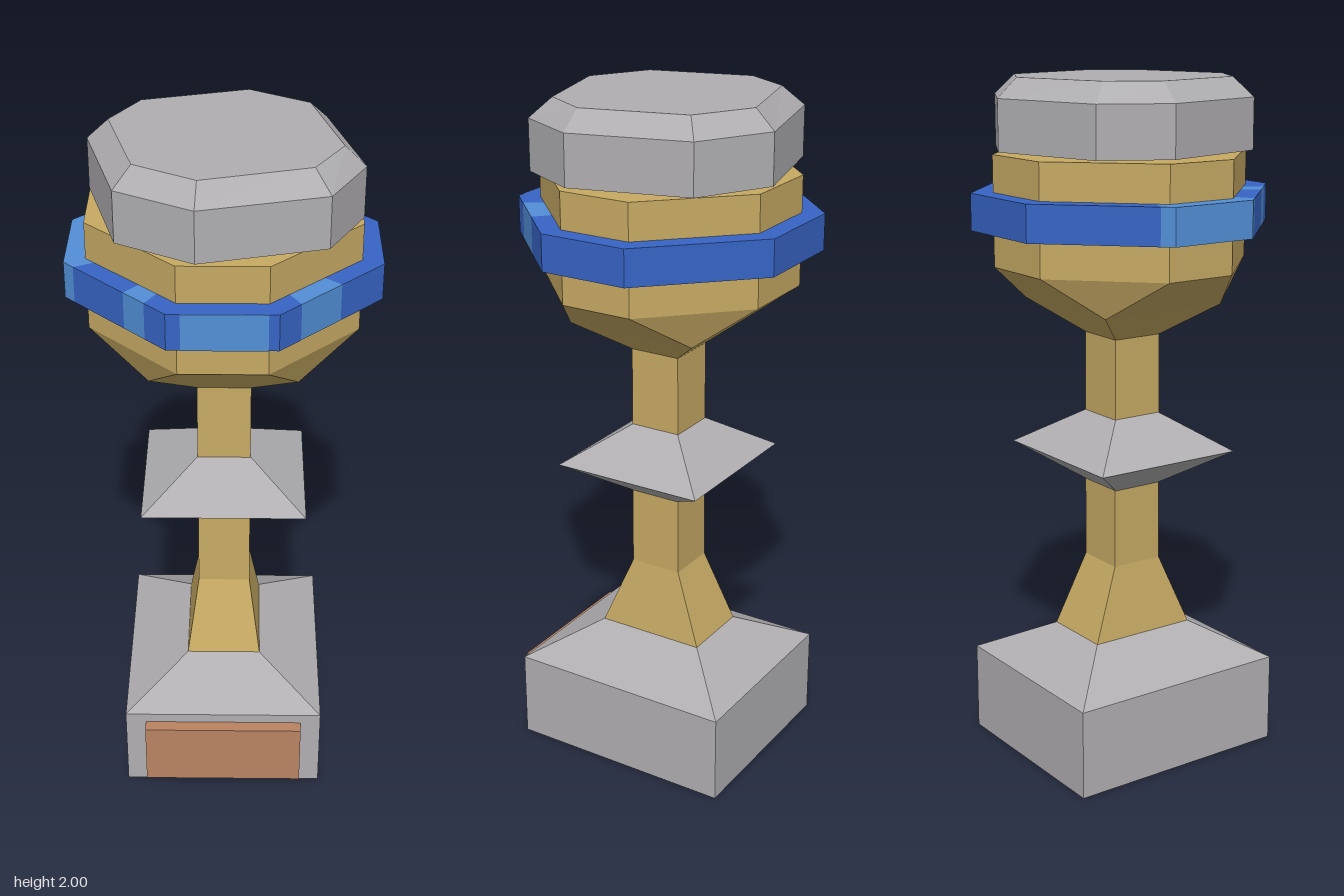
import * as THREE from 'three';

const mat = (name, color) => {
  const m = new THREE.MeshStandardMaterial({ color, flatShading: true });
  m.name = name;
  return m;
};

// Footprints are [x, z] points running from +x towards +z.
const oct = (X, z1, x1, Z) => [
  [X, z1], [x1, Z], [-x1, Z], [-X, z1], [-X, -z1], [-x1, -Z], [x1, -Z], [X, -z1],
];
const rect = (x, z) => [[x, z], [-x, z], [-x, -z], [x, -z]];
const twoFold = (half) => [...half, ...half.map(([x, z]) => [-x, -z])];

// Faceted solid through stacked cross-sections [y, footprint], capped at both ends.
function loft(sections) {
  const rings = sections.map(([y, pts]) => pts.map(([x, z]) => new THREE.Vector3(x, y, z)));
  const out = [];
  const tri = (a, b, c) => {
    if (new THREE.Triangle(a, b, c).getArea() > 1e-7) for (const p of [a, b, c]) out.push(p);
  };
  const n = rings[0].length;
  for (let r = 0; r + 1 < rings.length; r++) {
    const lo = rings[r], hi = rings[r + 1];
    for (let i = 0; i < n; i++) {
      const j = (i + 1) % n;
      tri(lo[i], hi[i], lo[j]);
      tri(lo[j], hi[i], hi[j]);
    }
  }
  const bottom = rings[0], top = rings[rings.length - 1];
  for (let k = 1; k + 1 < n; k++) {
    tri(bottom[0], bottom[k], bottom[k + 1]);
    tri(top[0], top[k + 1], top[k]);
  }
  const g = new THREE.BufferGeometry().setFromPoints(out);
  g.computeVertexNormals();
  return g;
}

export function createModel() {
  const root = new THREE.Group();
  root.name = 'trophyCup';
  const silver = mat('silver', 0xb0aeb1);
  const gold = mat('gold', 0xc6a963);
  const blue = mat('blue', 0x3764c4);
  const lightBlue = mat('lightBlue', 0x528fd6);
  const copper = mat('copper', 0xb98463);

  const add = (name, geometry, material, parent = root) => {
    const m = new THREE.Mesh(geometry, material);
    m.name = name;
    parent.add(m);
    return m;
  };

  // Plinth with sloping shoulders, and its front plaque
  add('plinth', loft([
    [0, rect(0.295, 0.343)], [0.265, rect(0.295, 0.343)], [0.365, rect(0.11, 0.167)],
  ]), silver);
  add('plaque', new THREE.BoxGeometry(0.47, 0.2, 0.05), copper).position.set(0, 0.135, 0.355);

  // Square stem flaring at the foot, with a diamond collar
  add('stem', loft([
    [0.365, rect(0.11, 0.167)], [0.58, rect(0.077, 0.08)], [1.265, rect(0.077, 0.077)],
  ]), gold);
  add('collar', loft([
    [0.815, rect(0.077, 0.077)], [0.922, rect(0.237, 0.233)], [1.03, rect(0.077, 0.077)],
  ]), silver);

  // Bowl: square at the stem, opening into an octagon
  const bowlRim = oct(0.37, 0.107, 0.12, 0.355);
  add('bowl', loft([
    [1.265, oct(0.077, 0.077, 0.077, 0.077)],
    [1.36, oct(0.205, 0.2, 0.205, 0.2)],
    [1.475, bowlRim],
    [1.79, bowlRim],
  ]), gold);

  // Band around the bowl, made of blue pieces with lighter patches
  const band = new THREE.Group();
  band.name = 'band';
  root.add(band);
  const outer = oct(0.427, 0.13, 0.145, 0.413);
  const inner = bowlRim.map(([x, z]) => [x * 0.97, z * 0.97]);
  const along = (pts, k, t) => {
    const a = pts[k], b = pts[(k + 1) % 8];
    return [a[0] + (b[0] - a[0]) * t, a[1] + (b[1] - a[1]) * t];
  };
  const patches = { 0: [[0.42, 0.8]], 2: [[0.2, 0.4], [0.9, 1]], 3: [[0, 1]], 4: [[0, 0.1]] };
  for (let k = 0; k < 8; k++) {
    const light = patches[k] || [];
    const cuts = [...new Set([0, ...light.flat(), 1])];
    cuts.sort((a, b) => a - b);
    for (let i = 0; i + 1 < cuts.length; i++) {
      const [t0, t1] = [cuts[i], cuts[i + 1]];
      const isLight = light.some(([s, e]) => s === t0 && e === t1);
      const foot = [along(outer, k, t0), along(outer, k, t1), along(inner, k, t1), along(inner, k, t0)];
      add(isLight ? 'bandPatch' : 'bandPiece', loft([[1.58, foot], [1.685, foot]]),
        isLight ? lightBlue : blue, band);
    }
  }
  add('bandFrontPatch', new THREE.BoxGeometry(0.225, 0.105, 0.004), lightBlue, band)
    .position.set(0.005, 1.6325, 0.413);

  // Lid: octagon turned slightly, with a bevelled top edge
  const lidSide = twoFold([[0.37, 0.09], [0.272, 0.275], [-0.07, 0.365], [-0.28, 0.248]]);
  const lidTop = twoFold([[0.311, 0.086], [0.23, 0.224], [-0.065, 0.306], [-0.232, 0.21]]);
  add('lid', loft([[1.8, lidSide], [1.945, lidSide], [2, lidTop]]), silver);

  return root;
}
